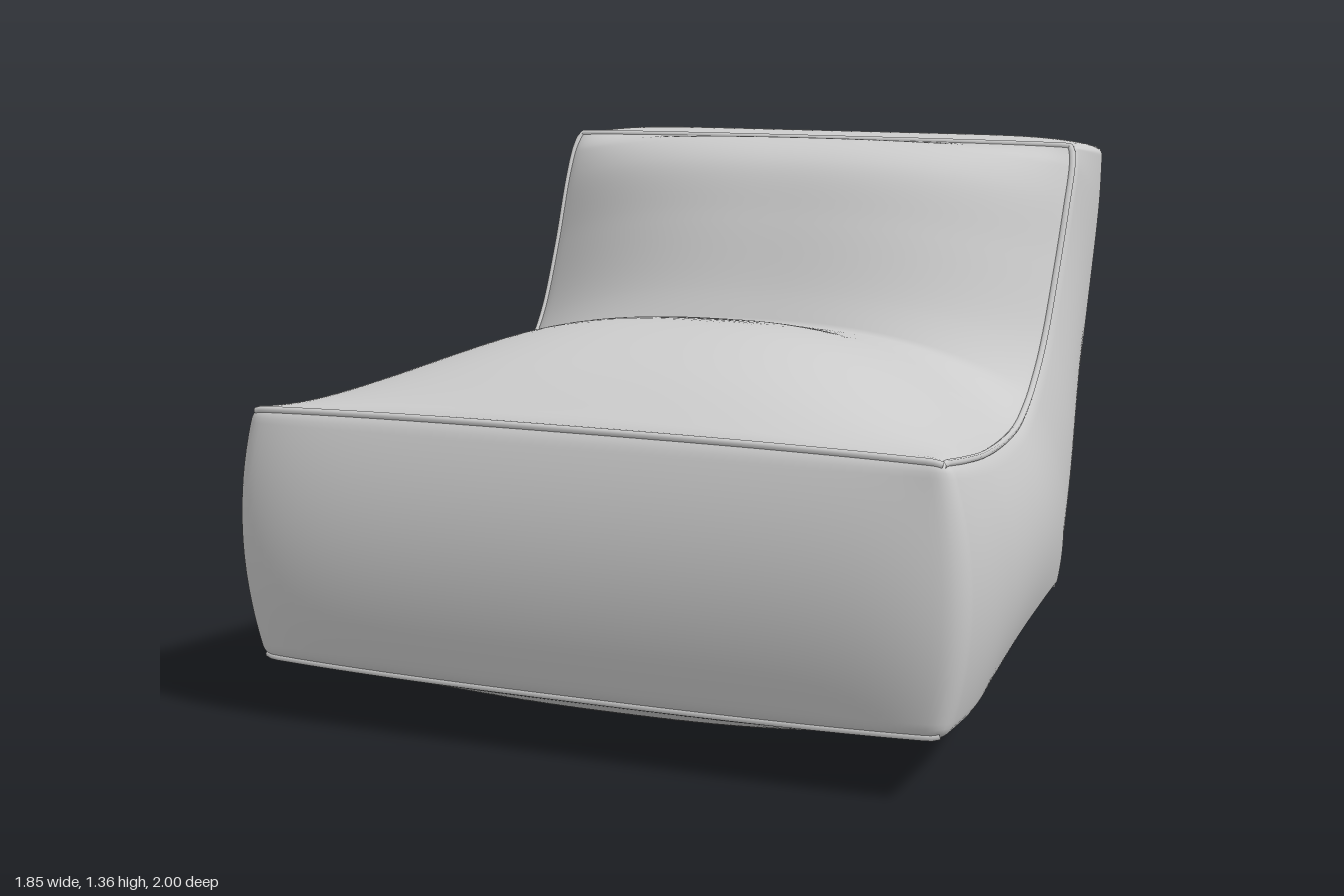
import * as THREE from 'three';
import { mergeVertices } from 'three/addons/utils/BufferGeometryUtils.js';

// Smooth curve through [z, y] knots; `split` keeps a sharp crease at the middle knot.
function profile(knots, split = true) {
  const spline = (k) => new THREE.CatmullRomCurve3(k.map(([z, y]) => new THREE.Vector3(0, y, z)), false, 'centripetal');
  if (!split) {
    const whole = spline(knots);
    return (t) => whole.getPoint(t);
  }
  const a = spline(knots.slice(0, 6));
  const b = spline(knots.slice(5));
  return (t) => (t < 0.5 ? a.getPoint(t * 2) : b.getPoint(t * 2 - 1));
}

// Profiles run from the front edge, along the seat, up to the top of the backrest.
const topEdge = profile([[0.94, 0.785], [0.7, 0.74], [0.4, 0.69], [0.1, 0.665], [-0.1, 0.67], [-0.25, 0.72],
  [-0.38, 0.83], [-0.5, 1.03], [-0.58, 1.2], [-0.625, 1.29], [-0.65, 1.345]], false);
const topCentre = profile([[0.94, 0.79], [0.7, 0.9], [0.4, 0.955], [0.1, 0.93], [-0.06, 0.9], [-0.17, 0.88],
  [-0.22, 0.97], [-0.3, 1.15], [-0.38, 1.3], [-0.48, 1.352], [-0.65, 1.345]]);
const underEdge = profile([[0.93, 0.15], [0.65, 0.125], [0.35, 0.11], [0, 0.11], [-0.3, 0.115], [-0.55, 0.12],
  [-0.62, 0.33], [-0.7, 0.6], [-0.8, 0.86], [-0.92, 1.15], [-0.99, 1.32]]);
const underCentre = profile([[0.93, 0.14], [0.65, 0.03], [0.35, 0], [0, 0.005], [-0.3, 0.03], [-0.55, 0.11],
  [-0.74, 0.33], [-0.87, 0.6], [-0.945, 0.86], [-0.985, 1.13], [-0.995, 1.32]]);

// Half width at the seams and extra swelling of the side panels, as [t, value] knots.
const seamWidth = profile([0.875, 0.855, 0.815, 0.78, 0.76, 0.75, 0.75, 0.755, 0.76, 0.76, 0.75].map((w, i) => [i, w]), false);
const sideSwell = profile([0.05, 0.06, 0.065, 0.065, 0.06, 0.05, 0.045, 0.03, 0.015, 0.01, 0.01].map((w, i) => [i, w]), false);

// Rounds the edges of the [-1, 1] cube before it is shaped.
const radius = new THREE.Vector3(0.05, 0.1, 0.03);
function roundCube(p) {
  const inner = new THREE.Vector3(1, 1, 1).sub(radius);
  inner.clamp(inner.clone(), inner);
  const core = p.clone().clamp(inner.clone().negate(), inner);
  const d = p.clone().sub(core).divide(radius);
  if (d.lengthSq() > 0) d.normalize();
  return core.add(d.multiply(radius));
}

// Maps a cube point (x across, y thickness, z front to back) onto the cushion.
function cushionPoint(x, y, z) {
  const p = roundCube(new THREE.Vector3(x, y, z));
  const u = p.x, v = p.y, s = -p.z;
  const t = THREE.MathUtils.clamp((s + 1) / 2, 0, 1);
  const crown = 1 - Math.abs(u) ** 2.6;
  const top = topEdge(t).lerp(topCentre(t), crown);
  const under = underEdge(t).lerp(underCentre(t), crown);
  const out = under.lerp(top, (v + 1) / 2);
  const swell = 1 - v * v;
  out.x = u * (seamWidth(t).y + sideSwell(t).y * swell);
  const panel = swell * (1 - u ** 8);
  out.z += 0.062 * panel * Math.max(0, -s) ** 20;
  out.y += 0.025 * panel * Math.max(0, s) ** 20;
  return out;
}

const ease = (a) => Math.sin((a * Math.PI) / 2);

export function createModel() {
  const group = new THREE.Group();
  group.name = 'loungeChair';
  const material = new THREE.MeshStandardMaterial({ color: 0xcccccc, roughness: 0.8 });

  // Soft one-piece body, with the grid gathered towards the seams
  let geometry = new THREE.BoxGeometry(2, 2, 2, 56, 36, 110);
  geometry.deleteAttribute('uv');
  geometry.deleteAttribute('normal');
  const pos = geometry.attributes.position;
  for (let i = 0; i < pos.count; i++) {
    const q = cushionPoint(ease(pos.getX(i)), ease(pos.getY(i)), ease(pos.getZ(i)));
    pos.setXYZ(i, q.x, q.y, q.z);
  }
  geometry = mergeVertices(geometry, 1e-5);
  geometry.computeVertexNormals();
  const body = new THREE.Mesh(geometry, material);
  body.name = 'cushionBody';
  group.add(body);

  // Piping sewn along the seams
  function piping(name, at, steps = 50) {
    const points = [];
    for (let i = 0; i <= steps; i++) points.push(cushionPoint(...at(ease((i / steps) * 2 - 1))));
    const tube = new THREE.TubeGeometry(new THREE.CatmullRomCurve3(points), steps * 2, 0.009, 8);
    const mesh = new THREE.Mesh(tube, material);
    mesh.name = name;
    group.add(mesh);
  }
  for (const side of [1, -1]) {
    const label = side > 0 ? 'left' : 'right';
    piping(label + 'SeatPiping', (a) => [side, 1, a]);
    piping(label + 'BackPiping', (a) => [side, -1, -(a + 1) / 2]);
  }
  piping('frontTopPiping', (a) => [a, 1, 1]);
  piping('frontBottomPiping', (a) => [a, -1, 1]);
  piping('backrestFrontPiping', (a) => [a, 1, -1]);
  piping('backrestRearPiping', (a) => [a, -1, -1]);

  return group;
}
